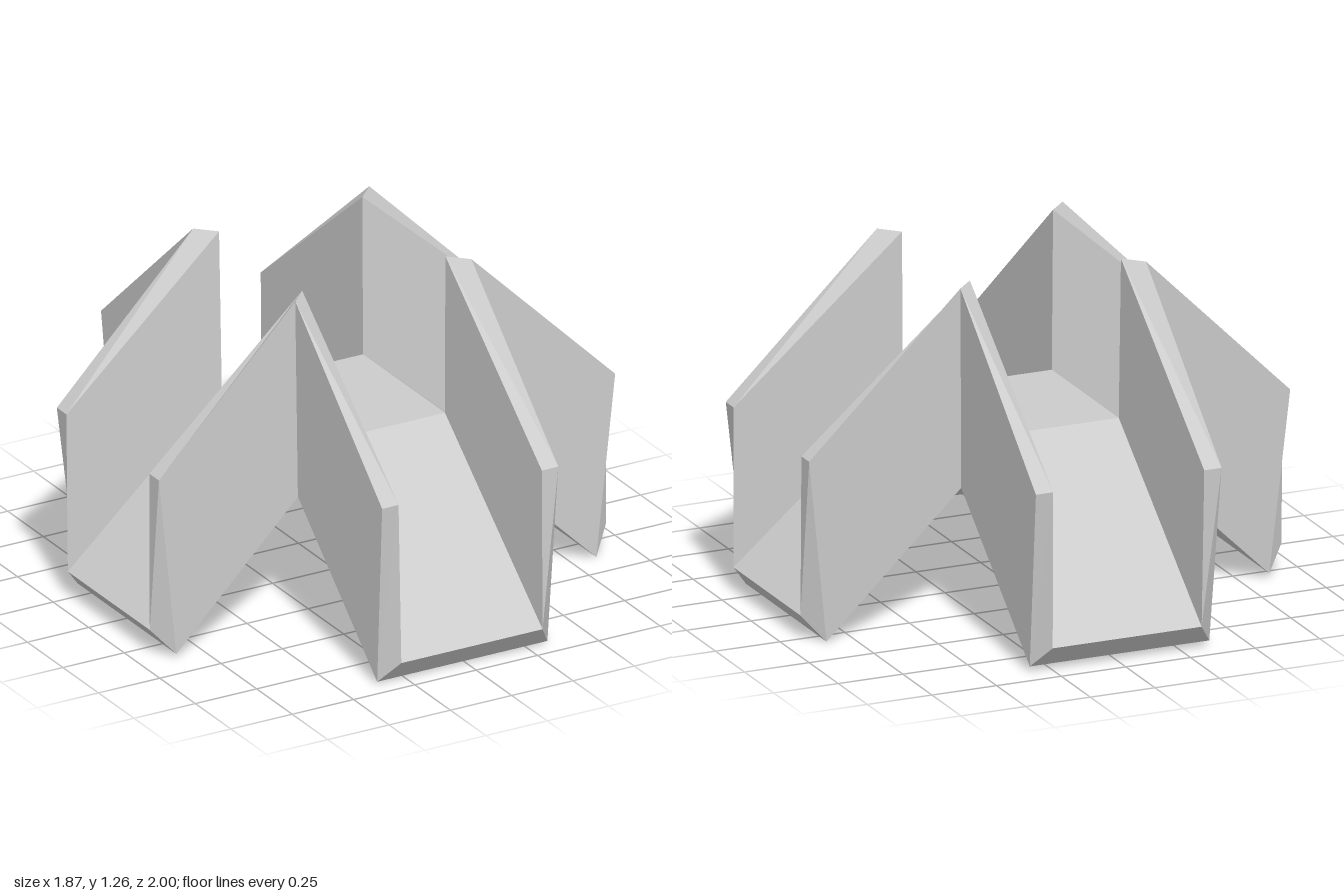
import * as THREE from 'three';

const material = new THREE.MeshStandardMaterial({ color: 0xcccccc, flatShading: true });

// Cross-section points of a chute: half width and height at the hub
const INNER_TOP = { r: 0.292, y: 1.26 };
const INNER_FLOOR = { r: 0.288, y: 0.66 };
const OUTER_TOP = { r: 0.359, y: 1.26 };
const OUTER_BOTTOM = { r: 0.347, y: 0.505 };

// U-shaped loop: down the inside, across the floor, up, and back around the outside
const LOOP = [
  [INNER_TOP, -1], [INNER_FLOOR, -1], [INNER_FLOOR, 1], [INNER_TOP, 1],
  [OUTER_TOP, 1], [OUTER_BOTTOM, 1], [OUTER_BOTTOM, -1], [OUTER_TOP, -1],
];

// Direction of each chute, and [reach, height] of its wall top, floor and underside at the mouth
const CHUTES = [
  { name: 'frontChute', d: [0, 1], top: [0.977, 0.70], floor: [0.997, 0.095], bottom: [0.93, 0.01] },
  { name: 'backChute', d: [0, -1], top: [1.0, 0.69], floor: [0.977, 0.10], bottom: [0.91, 0.02] },
  { name: 'leftChute', d: [1, 0], top: [0.93, 0.69], floor: [0.925, 0.09], bottom: [0.85, 0.0] },
  { name: 'rightChute', d: [-1, 0], top: [0.93, 0.70], floor: [0.935, 0.10], bottom: [0.862, 0.015] },
];

// The whole form leans a little towards its foot
const leanX = (y) => -0.007 - 0.009 * (1 - y / 1.26);
const leanZ = (y) => 0.032 * (1 - y / 1.26);

function hubPoint({ r, y }, sx, sz) {
  return [sx * r + leanX(y), y, sz * r + leanZ(y)];
}

// Flat-sided mesh from quads listed counter-clockwise
function quadMesh(name, quads) {
  const positions = quads.flatMap(([a, b, c, d]) => [a, b, c, a, c, d]).flat();
  const geometry = new THREE.BufferGeometry();
  geometry.setAttribute('position', new THREE.Float32BufferAttribute(positions, 3));
  geometry.computeVertexNormals();
  const mesh = new THREE.Mesh(geometry, material);
  mesh.name = name;
  return mesh;
}

function makeChute({ name, d: [dx, dz], top, floor, bottom }) {
  const side = [dz, -dx];
  // Section at the hub, mitred with the neighbouring chutes
  const hub = LOOP.map(([p, s]) => hubPoint(p, side[0] * s + dx, side[1] * s + dz));
  // Section at the mouth
  const mouth = LOOP.map(([p, s]) => {
    const [reach, y] = p === INNER_FLOOR ? floor : p === OUTER_BOTTOM ? bottom : top;
    return [
      side[0] * s * p.r + dx * reach + Math.abs(side[0]) * leanX(y),
      y,
      side[1] * s * p.r + dz * reach + Math.abs(side[1]) * leanZ(y),
    ];
  });
  const quads = LOOP.map((_, i) => {
    const j = (i + 1) % LOOP.length;
    return [hub[i], mouth[i], mouth[j], hub[j]];
  });
  // End faces of the two walls and the floor
  for (const cap of [[0, 7, 6, 1], [1, 6, 5, 2], [2, 5, 4, 3]]) quads.push(cap.map((i) => mouth[i]));
  return quadMesh(name, quads);
}

export function createModel() {
  const group = new THREE.Group();
  group.name = 'fourWayChute';

  // Central platform, upper face and underside
  const corners = [[-1, 1], [1, 1], [1, -1], [-1, -1]];
  const upper = corners.map(([x, z]) => hubPoint(INNER_FLOOR, x, z));
  const under = corners.map(([x, z]) => hubPoint(OUTER_BOTTOM, x, z)).reverse();
  group.add(quadMesh('platform', [upper, under]));

  // Four sloping channels with side walls
  for (const chute of CHUTES) group.add(makeChute(chute));
  return group;
}
